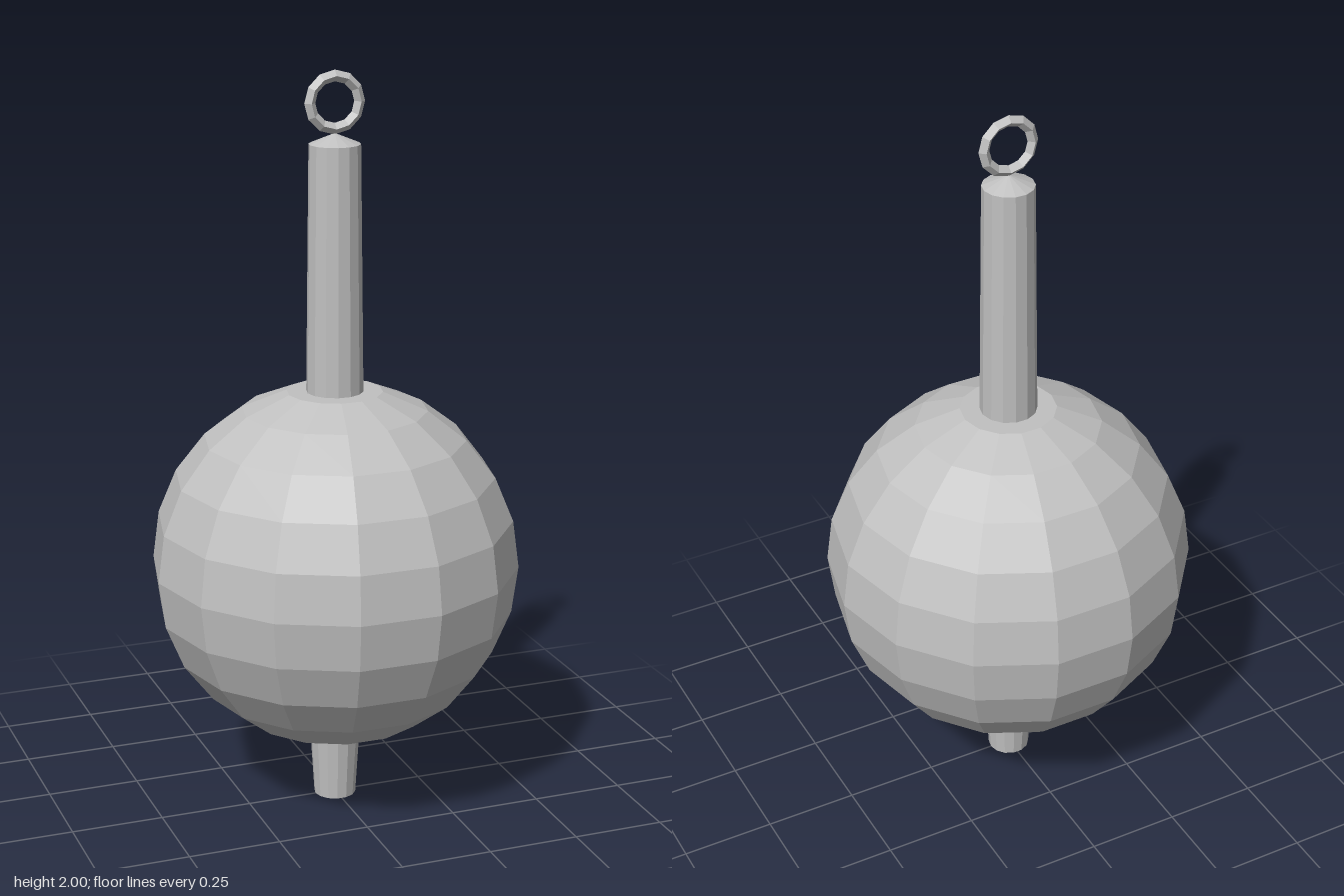
import * as THREE from 'three';

const SIDES = 14;

export function createModel() {
  const metal = new THREE.MeshStandardMaterial({ color: 0xc0c0c0 });
  metal.name = 'light grey metal';
  const model = new THREE.Group();
  model.name = 'ballWithStem';

  // Faceted mesh: every face gets its own flat normal
  const add = (name, geometry) => {
    const flat = geometry.toNonIndexed();
    flat.computeVertexNormals();
    const mesh = new THREE.Mesh(flat, metal);
    mesh.name = name;
    model.add(mesh);
    return mesh;
  };
  // Turned part from [radius, height] pairs, bottom to top, with a corner on the x axis
  const turned = (name, profile) => add(name, new THREE.LatheGeometry(
    profile.map(([r, y]) => new THREE.Vector2(r, y)), SIDES, Math.PI / 2));

  // Ball: rings every 15 degrees, cut flat at both poles
  const radius = 0.495, centre = 0.675;
  const ball = [];
  for (let deg = -75; deg <= 75; deg += 15) {
    const a = THREE.MathUtils.degToRad(deg);
    ball.push([radius * Math.cos(a), centre + radius * Math.sin(a)]);
  }
  const bottom = ball[0][1], top = ball[ball.length - 1][1];
  turned('ball', [[0, bottom], ...ball, [0, top]]);

  // Tapered peg below
  turned('bottomPeg', [[0, 0], [0.057, 0], [0.069, bottom]]);

  // Long neck with a shallow conical cap
  turned('neck', [[0.076, top], [0.068, 1.81]]);
  turned('neckCap', [[0.068, 1.81], [0, 1.838]]);

  // Hanging ring with a diamond section
  add('hangingRing', new THREE.TorusGeometry(0.068, 0.015, 4, 12)).position.y = 1.917;

  return model;
}
